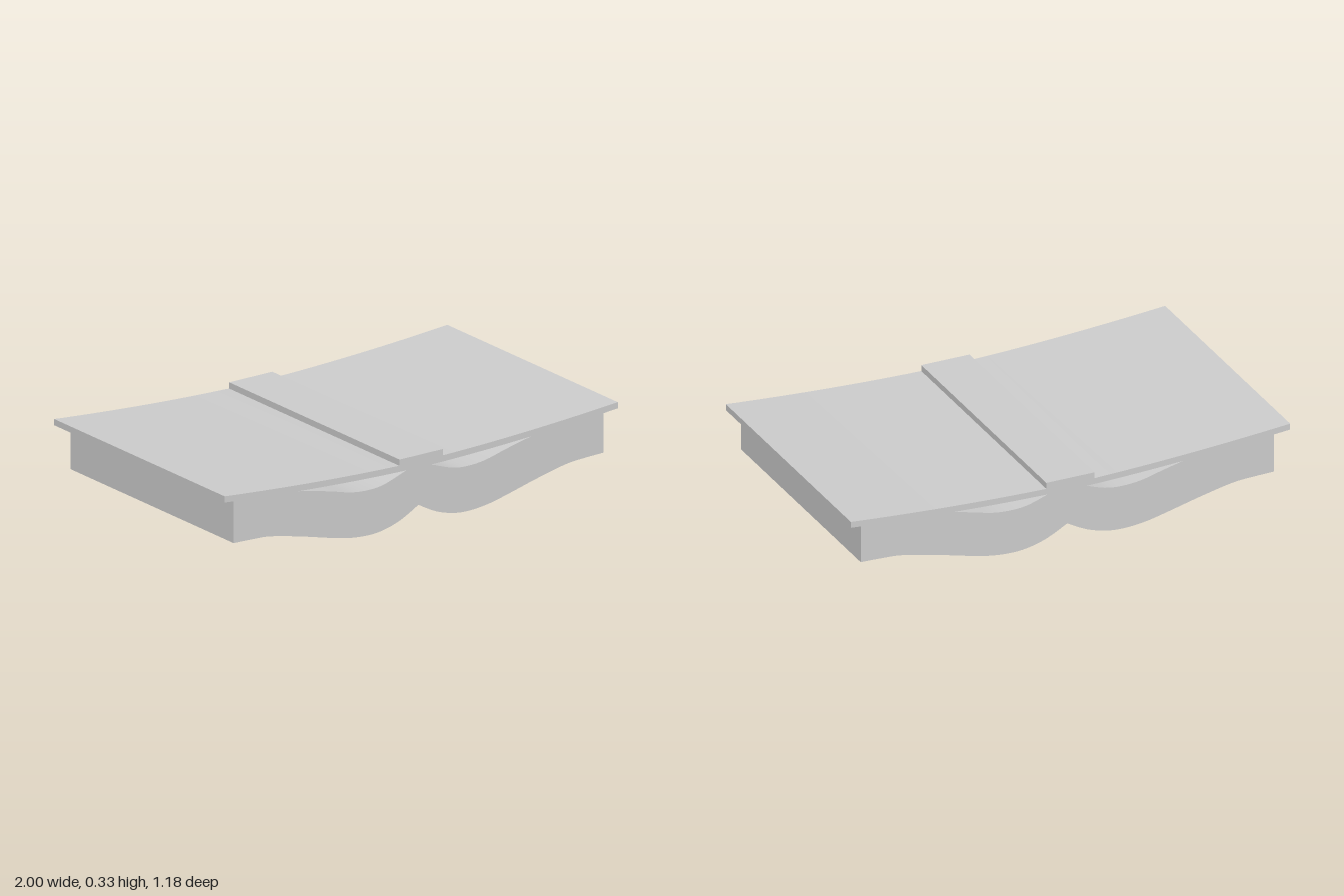
import * as THREE from 'three';
import { toCreasedNormals } from 'three/addons/utils/BufferGeometryUtils.js';

const material = new THREE.MeshStandardMaterial({ color: 0xcccccc });
const vectors = (pts) => pts.map(([x, y]) => new THREE.Vector2(x, y));
const mirrored = (pts) => pts.map(([x, y]) => [-x, y]).reverse();
const smooth = (pts, n) => new THREE.SplineCurve(vectors(pts)).getPoints(n);

// Extrudes a closed outline along z, centred on zMid, keeping hard edges crisp
function slab(name, outline, depth, zMid) {
  const geo = new THREE.ExtrudeGeometry(new THREE.Shape(outline), { depth, bevelEnabled: false });
  geo.translate(0, 0, zMid - depth / 2);
  const mesh = new THREE.Mesh(toCreasedNormals(geo, 0.45), material);
  mesh.name = name;
  return mesh;
}

export function createModel() {
  const book = new THREE.Group();
  book.name = 'openBook';

  // Page block: two sagging halves meeting in a sharp gutter underneath
  const under = [[0, 0.08], [0.09, 0.033], [0.18, 0.007], [0.26, 0.001], [0.35, 0.009],
    [0.44, 0.028], [0.6, 0.068], [0.75, 0.1], [0.84, 0.107], [0.94, 0.11]];
  const over = [[0, 0.253], [0.06, 0.243], [0.17, 0.206], [0.25, 0.197], [0.34, 0.204],
    [0.45, 0.231], [0.6, 0.262], [0.75, 0.277], [0.94, 0.291]];
  const overLeft = over.map(([x, y]) => [-x, y + 0.008 * x * x]);
  const pages = [
    ...smooth(mirrored(under), 36),
    ...smooth(under, 36).slice(1),
    ...smooth([...over].reverse(), 32),
    ...smooth(overLeft, 32).slice(1),
  ];
  book.add(slab('pages', pages, 1.13, 0.006));

  // Cover: a thin curved board with a raised spine strip
  const curve = (x) => 0.25 + 0.05 * Math.abs(x) ** 1.7 - 0.0045 * x;
  const thickness = 0.027;
  const spine = 0.11;
  const steps = 32;
  const lower = [], upper = [];
  for (let i = 0; i <= steps; i++) {
    const x = -1 + (2 * i) / steps;
    lower.push([x, curve(x)]);
    if (Math.abs(x) > spine) upper.push([x, curve(x) + thickness]);
  }
  const foot = curve(spine) + thickness;
  const ridge = [[-spine, foot], [-spine, 0.305], [spine, 0.305], [spine, foot]];
  const top = [...upper.filter(([x]) => x < 0), ...ridge, ...upper.filter(([x]) => x > 0)];
  book.add(slab('cover', vectors([...lower, ...top.reverse()]), 1.18, 0));

  return book;
}
